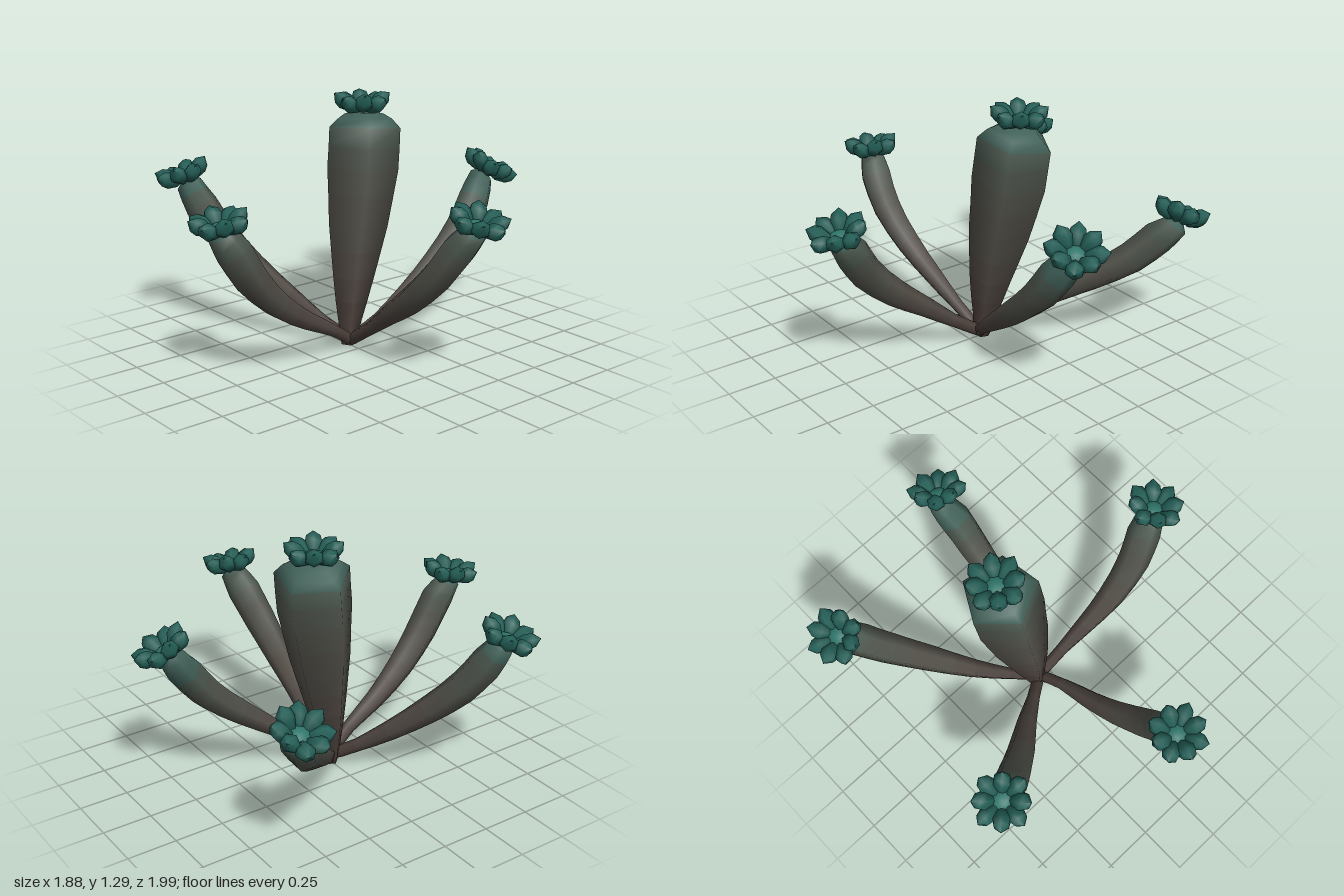
import * as THREE from 'three';

const mat = (color) => new THREE.MeshStandardMaterial({ color });
const bandMats = [0x4e423d, 0x504742, 0x524b45, 0x524f48, 0x51524a, 0x50554d, 0x4c5950, 0x42625a].map(mat);
const petalMat = mat(0x245f57);
const heartMat = mat(0x2f756a);

// Tapered stem swept through [x, y, z, radius] stations, smooth normals,
// cut into colour bands from root to tip that share one set of vertices.
function makeStem(name, stations, sides, steps, turn) {
  const group = new THREE.Group();
  group.name = name;
  const curve = new THREE.CatmullRomCurve3(stations.map((s) => new THREE.Vector3(s[0], s[1], s[2])));
  const up = new THREE.Vector3(0, 1, 0);
  const q = new THREE.Quaternion();
  const last = stations.length - 1;
  const rings = last * steps;
  const pos = [];
  for (let i = 0; i <= rings; i++) {
    const t = i / rings;
    const k = Math.min(Math.floor(i / steps), last - 1);
    const r = THREE.MathUtils.lerp(stations[k][3], stations[k + 1][3], i / steps - k);
    const c = curve.getPoint(t);
    q.setFromUnitVectors(up, curve.getTangent(t));
    for (let j = 0; j < sides; j++) {
      const a = turn + (j / sides) * Math.PI * 2;
      const p = new THREE.Vector3(r * Math.cos(a), 0, r * Math.sin(a)).applyQuaternion(q).add(c);
      pos.push(p.x, Math.max(p.y, 0), p.z);
    }
  }
  const bands = bandMats.map(() => []);
  const all = [];
  for (let i = 0; i < rings; i++) {
    const height = pos[i * sides * 3 + 1] / stations[last][1];
    const band = bands[Math.min(bands.length - 1, Math.floor(height * bands.length))];
    for (let j = 0; j < sides; j++) {
      const a = i * sides + j;
      const b = i * sides + ((j + 1) % sides);
      const tris = [a, a + sides, b, b, a + sides, b + sides];
      band.push(...tris);
      all.push(...tris);
    }
  }
  const whole = new THREE.BufferGeometry();
  whole.setAttribute('position', new THREE.Float32BufferAttribute(pos, 3));
  whole.setIndex(all);
  whole.computeVertexNormals();
  bands.forEach((index, n) => {
    if (!index.length) return;
    const g = new THREE.BufferGeometry();
    g.setAttribute('position', whole.attributes.position);
    g.setAttribute('normal', whole.attributes.normal);
    g.setIndex(index);
    const mesh = new THREE.Mesh(g, bandMats[n]);
    mesh.name = name + 'Band' + (n + 1);
    group.add(mesh);
  });
  return group;
}

// Plump pointed petal lying along +x
const petalGeo = new THREE.LatheGeometry(
  [[0, 0], [0.028, 0.012], [0.047, 0.066], [0.039, 0.1], [0, 0.134]].map((p) => new THREE.Vector2(p[0], p[1])), 6);
petalGeo.scale(1, 1, 0.9);
petalGeo.rotateY(Math.PI / 2);
petalGeo.rotateZ(-Math.PI / 2);
const heartGeo = new THREE.SphereGeometry(0.06, 8, 4, 0, Math.PI * 2, 0, Math.PI / 2);
heartGeo.scale(1, 0.7, 1);

// Rosette of eight petals around a small domed heart, facing along normal
function makeRosette(name, centre, normal, spin) {
  const group = new THREE.Group();
  group.name = name;
  const heart = new THREE.Mesh(heartGeo, heartMat);
  heart.name = 'rosetteHeart';
  group.add(heart);
  for (let i = 0; i < 8; i++) {
    const pivot = new THREE.Group();
    pivot.name = 'petalPivot';
    pivot.rotation.y = spin + (i * Math.PI) / 4;
    const petal = new THREE.Mesh(petalGeo, petalMat);
    petal.name = 'petal';
    petal.position.set(0.036, 0, 0);
    petal.rotation.z = 0.52 + (i % 2) * 0.16;
    pivot.add(petal);
    group.add(pivot);
  }
  group.position.set(...centre);
  group.quaternion.setFromUnitVectors(new THREE.Vector3(0, 1, 0), new THREE.Vector3(...normal).normalize());
  return group;
}

// Arm stations run from the shared root to the rosette
const arms = [
  { name: 'leftArm', tip: [0.775, 0.815, -0.05], normal: [0.28, 1, -0.05],
    path: [[0.1, 0.14, 0.005], [0.26, 0.26, 0.02], [0.43, 0.385, 0.028], [0.6, 0.55, 0.01], [0.695, 0.69, -0.025]] },
  { name: 'frontArm', tip: [0.035, 0.805, 0.84], normal: [0, 1, 0.15],
    path: [[-0.03, 0.13, 0.15], [-0.01, 0.23, 0.33], [0.02, 0.36, 0.52], [0.048, 0.52, 0.68], [0.05, 0.68, 0.78]] },
  { name: 'backArm', tip: [0.045, 0.825, -0.845], normal: [0.25, 1, -0.5],
    path: [[0.0, 0.13, -0.13], [0.04, 0.25, -0.29], [0.063, 0.38, -0.46], [0.066, 0.53, -0.63], [0.058, 0.68, -0.745]] },
  { name: 'backRightArm', tip: [-0.785, 0.72, -0.665], normal: [-0.55, 1, 0.08],
    path: [[-0.2, 0.12, -0.1], [-0.34, 0.24, -0.22], [-0.48, 0.36, -0.37], [-0.62, 0.49, -0.52], [-0.71, 0.61, -0.61]] },
  { name: 'frontRightArm', tip: [-0.775, 0.84, 0.51], normal: [-0.27, 1, 0.24],
    path: [[-0.19, 0.12, 0.09], [-0.33, 0.24, 0.19], [-0.48, 0.39, 0.31], [-0.61, 0.54, 0.4], [-0.7, 0.69, 0.465]] },
];
const armRadii = [0.034, 0.051, 0.069, 0.082, 0.086];

export function createModel() {
  const model = new THREE.Group();
  model.name = 'branchingPlant';

  // Thick five-sided trunk with a sloped shoulder
  model.add(makeStem('trunk', [
    [-0.08, 0, 0, 0], [-0.08, 0.005, 0, 0.04], [-0.09, 0.12, -0.012, 0.062], [-0.103, 0.35, -0.044, 0.11],
    [-0.124, 0.62, -0.09, 0.159], [-0.146, 0.9, -0.136, 0.191], [-0.158, 1.105, -0.16, 0.19],
    [-0.168, 1.172, -0.168, 0.105], [-0.17, 1.19, -0.17, 0],
  ], 5, 2, THREE.MathUtils.degToRad(-115)));
  model.add(makeRosette('trunkRosette', [-0.172, 1.193, -0.165], [-0.02, 1, -0.02], 0.2));

  // Five curved arms, each with a rosette
  arms.forEach(({ name, tip, normal, path }, i) => {
    const [x, y, z] = tip;
    const stations = [[-0.08, 0.015, 0, 0], [-0.07, 0.025, 0, 0.03]];
    path.forEach((p, k) => stations.push([...p, armRadii[k]]));
    stations.push([x - normal[0] * 0.05, y - 0.04, z - normal[2] * 0.05, 0.066], [x, y, z, 0]);
    model.add(makeStem(name, stations, 6, 2, i));
    model.add(makeRosette(name + 'Rosette', [x, y - 0.02, z], normal, i * 0.37 + 0.1));
  });
  return model;
}
